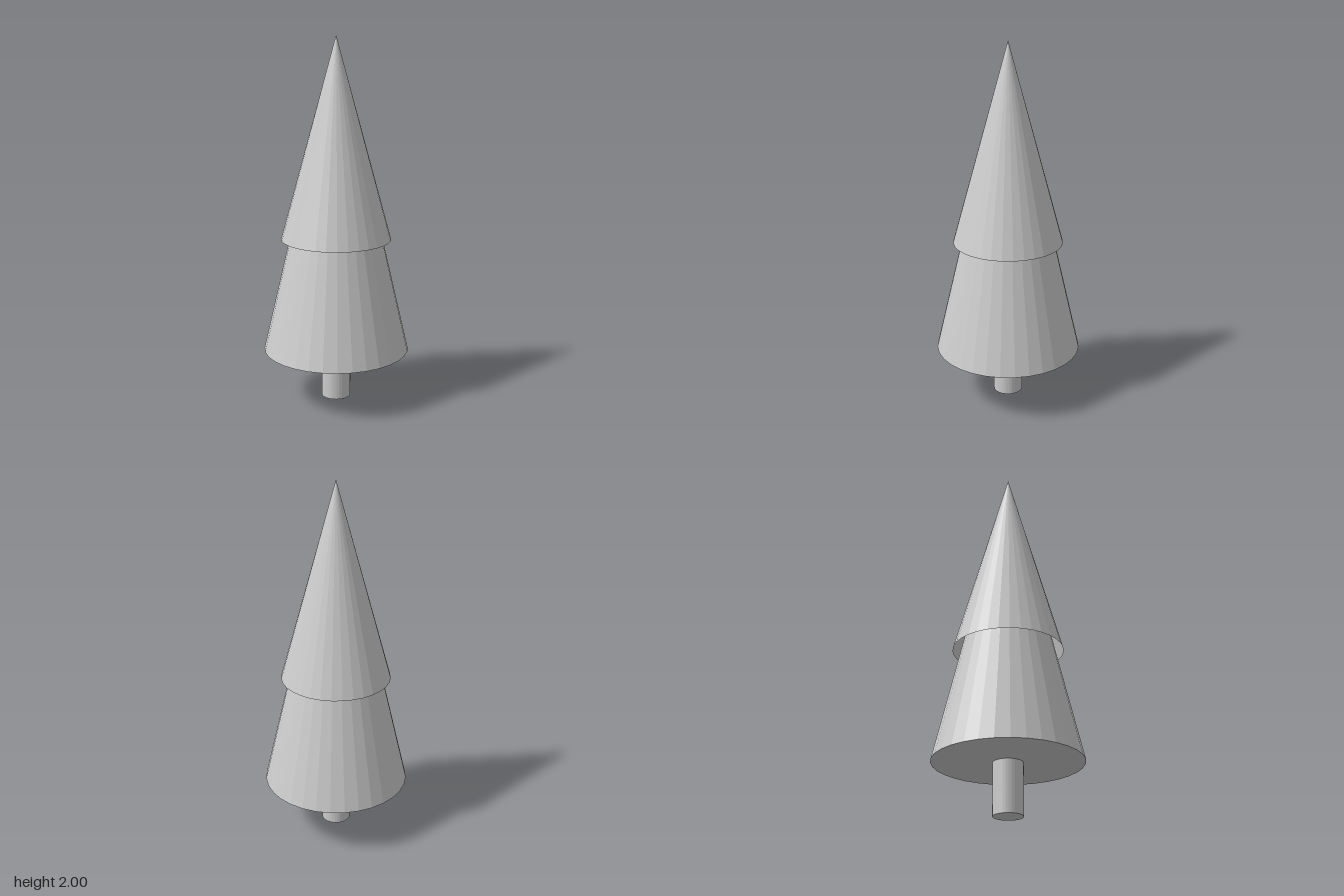
import * as THREE from 'three';

const SIDES = 32;

export function createModel() {
  const group = new THREE.Group();
  const material = new THREE.MeshStandardMaterial({
    color: 0xcccccc, flatShading: true, side: THREE.DoubleSide,
  });

  // Round part standing between two heights
  function addPart(name, topRadius, bottomRadius, bottom, top, open) {
    const geometry = new THREE.CylinderGeometry(
      topRadius, bottomRadius, top - bottom, SIDES, 1, open);
    const mesh = new THREE.Mesh(geometry, material);
    mesh.name = name;
    mesh.position.y = (bottom + top) / 2;
    group.add(mesh);
  }

  addPart('trunk', 0.08, 0.08, 0, 0.285, false);
  // Closed lower tier runs up inside the open upper tier
  addPart('lowerFoliage', 0, 0.4, 0.28, 1.99, false);
  addPart('upperFoliage', 0, 0.3, 0.905, 2, true);

  return group;
}
